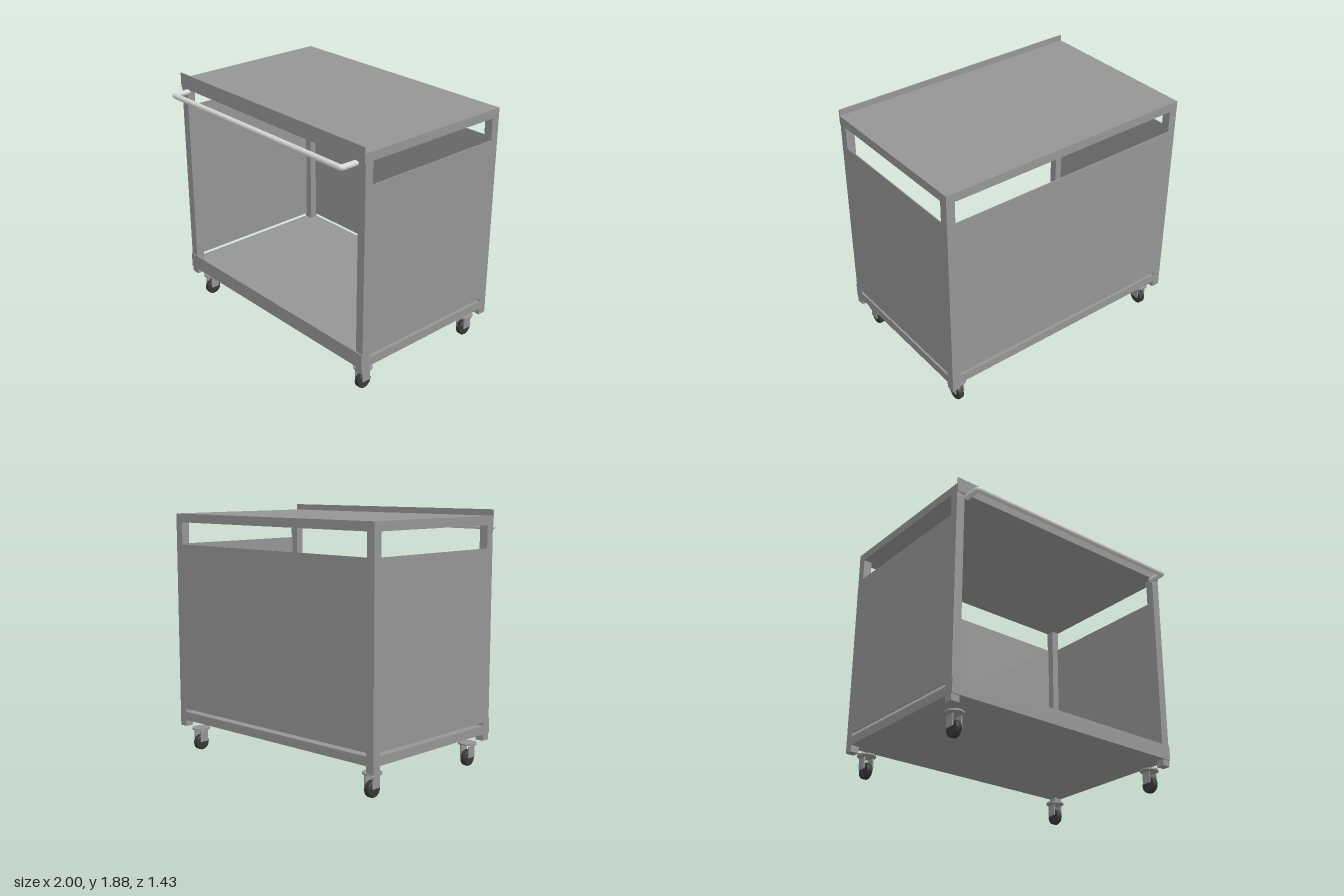
import * as THREE from 'three';

export function createModel() {
  const model = new THREE.Group();
  model.name = 'utilityCart';

  const mat = (name, color) => {
    const m = new THREE.MeshStandardMaterial({ color });
    m.name = name;
    return m;
  };
  const steel = mat('grey steel', 0x959595);
  const chrome = mat('bright tube', 0xd6d6d6);
  const rubber = mat('dark rubber', 0x383838);

  const add = (parent, name, geometry, material) => {
    const mesh = new THREE.Mesh(geometry, material);
    mesh.name = name;
    parent.add(mesh);
    return mesh;
  };
  // Box given by its lower and upper limits on each axis
  const box = (parent, name, [x0, x1], [y0, y1], [z0, z1], material = steel) =>
    add(parent, name, new THREE.BoxGeometry(x1 - x0, y1 - y0, z1 - z0), material)
      .position.set((x0 + x1) / 2, (y0 + y1) / 2, (z0 + z1) / 2);

  const W = 1, FRONT = 0.56, BACK = -0.715, POST = 0.065, SHEET = 0.008;

  // Floor and worktop slabs
  box(model, 'floor', [-W, W], [0.245, 0.31], [BACK, FRONT]);
  box(model, 'worktop', [-W, W], [1.77, 1.835], [BACK, FRONT]);

  // Corner posts, ending in short feet below the floor
  for (const s of [-1, 1]) {
    const xs = s > 0 ? [W - POST, W] : [-W, -W + POST];
    for (const zs of [[FRONT - POST, FRONT], [BACK, BACK + POST]]) {
      box(model, 'cornerPost', xs, [0.197, 1.77], zs);
    }
  }

  // Thin side and back panels, with air gaps above and below
  const panelY = [0.335, 1.605];
  box(model, 'leftPanel', [W - SHEET, W], panelY, [BACK + POST, FRONT - POST]);
  box(model, 'rightPanel', [-W, -W + SHEET], panelY, [BACK + POST, FRONT - POST]);
  box(model, 'backPanel', [-W + POST, W - POST], panelY, [BACK, BACK + SHEET]);

  // Front lips standing proud of the floor and worktop
  box(model, 'upperLip', [-W, W], [1.768, 1.88], [FRONT, FRONT + SHEET]);
  box(model, 'lowerLip', [-W, W], [0.245, 0.36], [FRONT, FRONT + SHEET]);

  // Push handle: one tube with tight bends at both ends
  const y = 1.75, hx = 0.916, hz = 0.69, bend = 0.02;
  const path = new THREE.CurvePath();
  const v = (x, z) => new THREE.Vector3(x, y, z);
  path.add(new THREE.LineCurve3(v(-hx, FRONT), v(-hx, hz - bend)));
  path.add(new THREE.QuadraticBezierCurve3(v(-hx, hz - bend), v(-hx, hz), v(-hx + bend, hz)));
  path.add(new THREE.LineCurve3(v(-hx + bend, hz), v(hx - bend, hz)));
  path.add(new THREE.QuadraticBezierCurve3(v(hx - bend, hz), v(hx, hz), v(hx, hz - bend)));
  path.add(new THREE.LineCurve3(v(hx, hz - bend), v(hx, FRONT)));
  add(model, 'pushHandle', new THREE.TubeGeometry(path, 300, 0.021, 16), chrome);

  // Casters: round mounting plate, two fork cheeks and a rounded wheel
  const R = 0.06, H = 0.024, r = 0.012;
  const tread = [new THREE.Vector2(0, -H)];
  for (let i = 0; i <= 4; i++) {
    const a = (i / 4) * Math.PI / 2;
    tread.push(new THREE.Vector2(R - r + r * Math.sin(a), -H + r - r * Math.cos(a)));
  }
  for (let i = 0; i <= 4; i++) {
    const a = (i / 4) * Math.PI / 2;
    tread.push(new THREE.Vector2(R - r + r * Math.cos(a), H - r + r * Math.sin(a)));
  }
  tread.push(new THREE.Vector2(0, H));
  const wheelGeo = new THREE.LatheGeometry(tread, 32).rotateZ(Math.PI / 2);
  const plateGeo = new THREE.CylinderGeometry(0.068, 0.068, 0.013, 32);

  for (const x of [-0.893, 0.893]) {
    for (const z of [0.452, -0.605]) {
      const caster = new THREE.Group();
      caster.name = 'caster';
      caster.position.set(x, 0, z);
      add(caster, 'casterPlate', plateGeo, steel).position.y = 0.17;
      box(caster, 'forkCheek', [-0.04, -0.03], [0.068, 0.152], [-0.034, 0.034]);
      box(caster, 'forkCheek', [0.03, 0.04], [0.068, 0.152], [-0.034, 0.034]);
      add(caster, 'wheel', wheelGeo, rubber).position.y = R;
      model.add(caster);
    }
  }
  return model;
}
